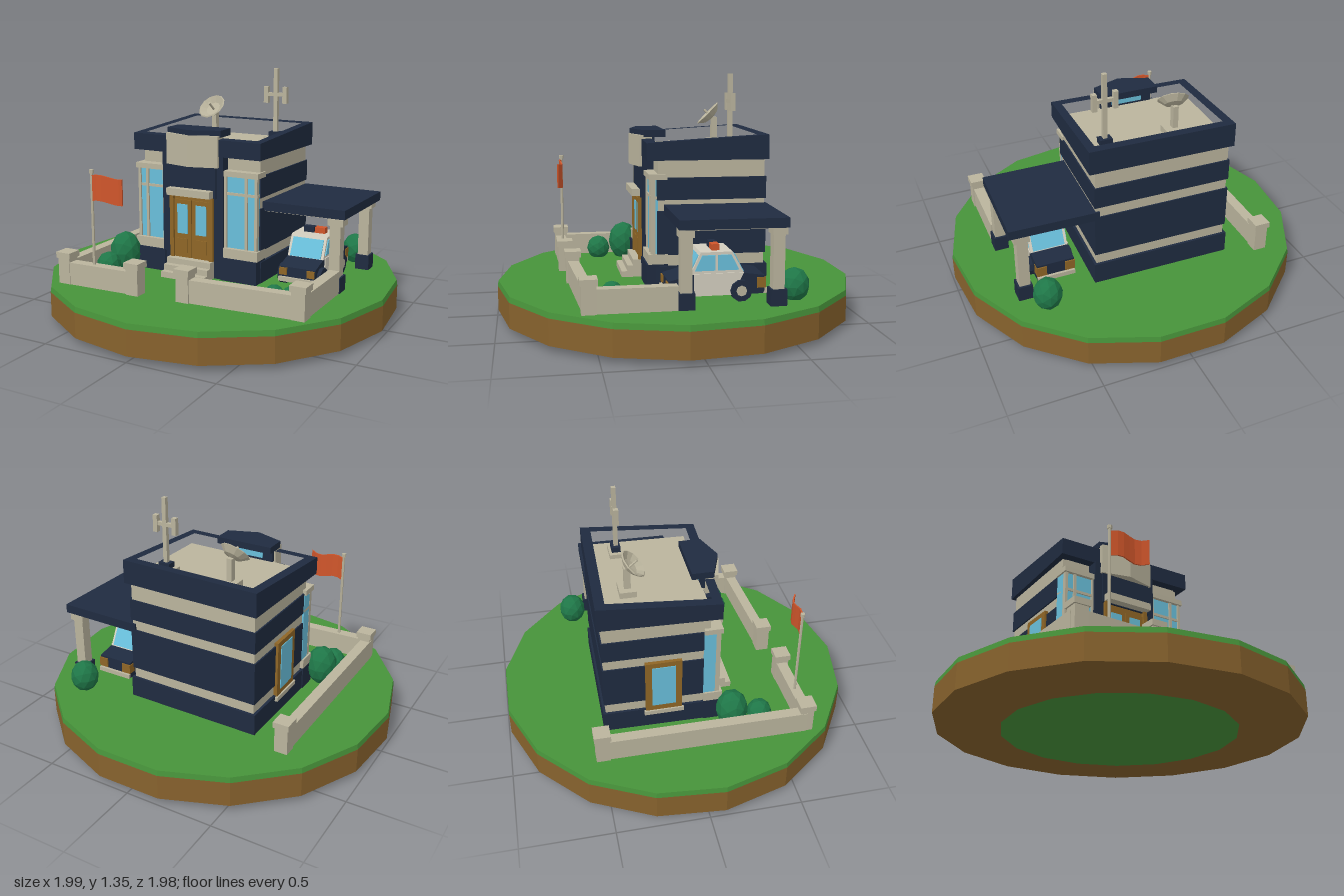
import * as THREE from 'three';

const mat = (name, color) => {
  const m = new THREE.MeshStandardMaterial({ color, flatShading: true });
  m.name = name;
  return m;
};

export function createModel() {
  const root = new THREE.Group();
  root.name = 'station';
  const cream = mat('cream stone', 0xbab49d), navy = mat('navy', 0x1f2b40);
  const glass = mat('glass blue', 0x69bfdb), wood = mat('wood brown', 0x8f6626);
  const soil = mat('soil brown', 0x87622d), grass = mat('grass green', 0x47933a);
  const leaf = mat('leaf green', 0x1f7748), orange = mat('orange', 0xd0562b);
  const white = mat('car white', 0xd3cebf);

  const group = (name) => {
    const g = new THREE.Group();
    g.name = name;
    root.add(g);
    return g;
  };
  const add = (parent, name, geo, m, x = 0, y = 0, z = 0) => {
    const mesh = new THREE.Mesh(geo, m);
    mesh.name = name;
    mesh.position.set(x, y, z);
    parent.add(mesh);
    return mesh;
  };
  // box from its extents
  const box = (p, name, m, x0, x1, y0, y1, z0, z1) =>
    add(p, name, new THREE.BoxGeometry(x1 - x0, y1 - y0, z1 - z0), m, (x0 + x1) / 2, (y0 + y1) / 2, (z0 + z1) / 2);
  const cyl = (p, name, m, r0, r1, y0, y1, n, x = 0, z = 0) =>
    add(p, name, new THREE.CylinderGeometry(r1, r0, y1 - y0, n), m, x, (y0 + y1) / 2, z);
  const toShape = (pts) => new THREE.Shape(pts.map(([a, b]) => new THREE.Vector2(a, b)));
  // upright slab over an [x, z] outline, optionally with a hole
  const slab = (p, name, m, pts, y0, y1, hole) => {
    const flip = (q) => q.map(([x, z]) => [x, -z]);
    const s = toShape(flip(pts));
    if (hole) s.holes.push(toShape(flip(hole)));
    const g = new THREE.ExtrudeGeometry(s, { depth: y1 - y0, bevelEnabled: false });
    g.rotateX(-Math.PI / 2);
    return add(p, name, g, m, 0, y0, 0);
  };
  // [z, y] profile carried across x
  const across = (p, name, m, pts, x0, x1) => {
    const g = new THREE.ExtrudeGeometry(toShape(pts), { depth: x1 - x0, bevelEnabled: false });
    g.rotateY(-Math.PI / 2);
    return add(p, name, g, m, x1, 0, 0);
  };

  // island
  const island = group('island');
  cyl(island, 'grassTop', grass, 1, 0.995, 0.17, 0.2, 17, 0, -0.005);
  cyl(island, 'soilRim', soil, 1, 1, 0.03, 0.17, 17, 0, -0.005);
  cyl(island, 'soilUnderside', soil, 0.66, 1, 0.012, 0.03, 17, 0, -0.005);
  cyl(island, 'grassUnderside', grass, 0.3, 0.66, 0, 0.0125, 17, 0, -0.005);

  // building walls in alternating bands
  const house = group('building');
  const wall = [[-0.44, -0.46], [0.32, -0.45], [0.3, 0.13], [-0.45, 0.115]];
  const grow = (d) => wall.map(([x, z]) => [x + Math.sign(x) * d, z + Math.sign(z) * d]);
  slab(house, 'walls', cream, wall, 0.2, 0.93);
  slab(house, 'base', navy, grow(0.015), 0.2, 0.32);
  slab(house, 'lowerBand', navy, grow(0.008), 0.38, 0.62);
  slab(house, 'upperBand', navy, grow(0.008), 0.68, 0.8);

  // parapet, rising towards the back
  const rim = slab(house, 'parapet', navy,
    [[-0.46, -0.485], [0.355, -0.465], [0.33, 0.195], [-0.485, 0.17]], 0.895, 0.995,
    [[-0.41, -0.43], [0.305, -0.41], [0.285, 0.14], [-0.43, 0.12]]);
  const rp = rim.geometry.attributes.position;
  for (let i = 0; i < rp.count; i++) if (rp.getY(i) > 0.05) rp.setY(i, 0.105 - 0.06 * rp.getZ(i));

  // bay windows on either side of the door
  for (const [x0, x1] of [[0.1, 0.3], [-0.46, -0.28]]) {
    const bay = group('bayWindow');
    const w = x1 - x0, s = x0 > 0 ? 1 : -1, out = s > 0 ? x1 : x0;
    box(bay, 'bayBase', navy, x0 - 0.01, x1 + 0.01, 0.2, 0.33, 0.08, 0.195);
    box(bay, 'sill', cream, x0 - 0.01, x1 + 0.01, 0.33, 0.385, 0.08, 0.185);
    box(bay, 'panes', glass, x0, x1, 0.385, 0.79, 0.08, 0.16);
    box(bay, 'head', cream, x0 - 0.01, x1 + 0.01, 0.79, 0.82, 0.08, 0.18);
    box(bay, 'crossbar', cream, x0, x1 + 0.004, 0.685, 0.7, 0.08, 0.167);
    for (const x of [out - s * 0.007, out - s * w * 0.33, out - s * (w - 0.008)])
      box(bay, 'mullion', cream, x - 0.008, x + 0.008, 0.385, 0.79, 0.145, 0.17);
  }

  // entrance
  const entry = group('entrance');
  for (const x of [-0.255, 0.07]) box(entry, 'column', navy, x - 0.03, x + 0.03, 0.2, 0.9, 0.08, 0.185);
  box(entry, 'panelOverDoor', navy, -0.24, 0.06, 0.66, 0.9, 0.08, 0.195);
  box(entry, 'doorFrame', wood, -0.23, 0.045, 0.3, 0.665, 0.1, 0.185);
  box(entry, 'doorLintel', cream, -0.23, 0.045, 0.665, 0.705, 0.1, 0.24);
  for (const x of [-0.152, -0.033]) {
    box(entry, 'doorLeaf', wood, x - 0.055, x + 0.055, 0.3, 0.635, 0.17, 0.193);
    box(entry, 'doorPane', glass, x - 0.033, x + 0.033, 0.44, 0.61, 0.19, 0.198);
    box(entry, 'doorPanel', wood, x - 0.033, x + 0.033, 0.33, 0.41, 0.19, 0.199);
  }
  for (const x of [-0.218, 0.033]) box(entry, 'doorJamb', wood, x - 0.012, x + 0.012, 0.3, 0.665, 0.17, 0.205);
  for (let i = 0; i < 3; i++)
    box(entry, 'step', cream, -0.235, 0.045, 0.2, 0.3 - i * 0.033, 0.1, 0.235 + i * 0.033);

  // folded sign panel with cap
  slab(entry, 'signPanel', cream, [[-0.25, 0.13], [0.075, 0.13], [0.075, 0.2], [-0.09, 0.24], [-0.25, 0.2]], 0.835, 1.01);
  slab(entry, 'signCap', navy, [[-0.255, 0.055], [0.08, 0.055], [0.08, 0.175], [-0.09, 0.235], [-0.255, 0.175]], 1.0, 1.038);
  box(entry, 'signBackPane', glass, -0.18, 0.0, 0.945, 0.995, 0.105, 0.113);
  box(entry, 'signBack', navy, -0.24, 0.065, 0.93, 1.01, 0.113, 0.14);

  // framed window on the right wall
  const side = group('sideWindow');
  box(side, 'frame', wood, -0.466, -0.42, 0.31, 0.64, -0.24, -0.04);
  box(side, 'pane', glass, -0.47, -0.462, 0.35, 0.61, -0.205, -0.075);
  box(side, 'sill', cream, -0.475, -0.42, 0.29, 0.315, -0.25, -0.03);

  // dish on the roof
  const dish = group('dish');
  box(dish, 'dishBase', cream, -0.25, -0.14, 0.925, 0.965, -0.33, -0.24);
  box(dish, 'dishStand', cream, -0.215, -0.185, 0.96, 1.09, -0.3, -0.265);
  const bowl = new THREE.Group();
  bowl.name = 'dishHead';
  bowl.position.set(-0.2, 1.085, -0.275);
  bowl.rotation.set(Math.PI / 4, 0, 0.15);
  dish.add(bowl);
  const bowlProfile = [[0, 0], [0.05, 0.01], [0.086, 0.04], [0.08, 0.045], [0.045, 0.02], [0, 0.012]];
  add(bowl, 'bowl', new THREE.LatheGeometry(bowlProfile.map((p) => new THREE.Vector2(...p)), 12), cream);
  cyl(bowl, 'feed', cream, 0.007, 0.007, 0.01, 0.07, 6);

  // antenna on the roof
  const ant = group('antenna');
  box(ant, 'antennaBase', cream, 0.14, 0.26, 0.925, 0.955, -0.325, -0.245);
  box(ant, 'antennaFoot', navy, 0.165, 0.235, 0.95, 0.985, -0.31, -0.26);
  box(ant, 'mast', cream, 0.188, 0.212, 0.95, 1.35, -0.295, -0.271);
  box(ant, 'crossArm', cream, 0.14, 0.26, 1.19, 1.21, -0.293, -0.273);
  for (const x of [0.14, 0.257]) box(ant, 'aerial', cream, x - 0.013, x + 0.013, 1.15, 1.245, -0.297, -0.269);

  // carport
  const port = group('carport');
  slab(port, 'carportRoof', navy, [[0.3, -0.46], [0.79, -0.45], [0.775, 0.1], [0.3, 0.1]], 0.605, 0.655);
  slab(port, 'carportCeiling', cream, [[0.32, -0.44], [0.765, -0.43], [0.755, 0.08], [0.31, 0.08]], 0.598, 0.606);
  for (const z of [0.06, -0.41]) {
    box(port, 'post', cream, 0.69, 0.75, 0.28, 0.6, z - 0.03, z + 0.03);
    box(port, 'postHead', cream, 0.68, 0.765, 0.565, 0.602, z - 0.038, z + 0.038);
    box(port, 'postFoot', navy, 0.68, 0.76, 0.2, 0.285, z - 0.042, z + 0.042);
  }

  // patrol car
  const car = group('car');
  const X0 = 0.42, X1 = 0.63;
  across(car, 'carBody', navy,
    [[0.13, 0.235], [0.13, 0.315], [0.02, 0.345], [-0.27, 0.345], [-0.37, 0.33], [-0.37, 0.235]], X0, X1);
  across(car, 'cabin', white, [[0.02, 0.34], [-0.035, 0.46], [-0.2, 0.46], [-0.265, 0.34]], X0, X1);
  across(car, 'windshield', glass, [[0.024, 0.348], [-0.024, 0.446], [-0.03, 0.44], [0.014, 0.348]], X0 + 0.015, X1 - 0.015);
  across(car, 'rearWindow', glass, [[-0.264, 0.352], [-0.255, 0.35], [-0.205, 0.442], [-0.215, 0.446]], X0 + 0.015, X1 - 0.015);
  for (const x of [X0 - 0.006, X1]) {
    across(car, 'doors', white, [[0.0, 0.235], [0.0, 0.35], [-0.26, 0.35], [-0.2, 0.235]], x, x + 0.006);
    across(car, 'frontSideWindow', glass, [[-0.005, 0.365], [-0.043, 0.445], [-0.11, 0.445], [-0.11, 0.365]], x, x + 0.006);
    across(car, 'rearSideWindow', glass, [[-0.125, 0.365], [-0.125, 0.445], [-0.193, 0.445], [-0.235, 0.365]], x, x + 0.006);
  }
  for (const z of [0.055, -0.245])
    for (const x of [X0, X1]) {
      cyl(car, 'tyre', navy, 0.057, 0.057, 0.237, 0.277, 10, x, z).rotation.z = Math.PI / 2;
      cyl(car, 'hub', cream, 0.028, 0.028, 0.234, 0.28, 8, x, z).rotation.z = Math.PI / 2;
    }
  box(car, 'frontBumper', cream, 0.42, 0.63, 0.235, 0.26, 0.11, 0.145);
  box(car, 'rearBumper', cream, 0.42, 0.63, 0.235, 0.26, -0.385, -0.36);
  for (const x of [0.445, 0.605]) {
    box(car, 'headlight', wood, x - 0.022, x + 0.022, 0.27, 0.31, 0.12, 0.138);
    box(car, 'tailLight', wood, x - 0.028, x + 0.028, 0.265, 0.32, -0.377, -0.33);
  }
  box(car, 'lightBarOrange', orange, 0.53, 0.59, 0.458, 0.492, -0.14, -0.1);
  box(car, 'lightBarNavy', navy, 0.465, 0.525, 0.458, 0.492, -0.14, -0.1);

  // garden wall: runs between capped pillars
  const fence = group('gardenWall');
  const run = (x0, z0, x1, z1) => {
    const len = Math.hypot(x1 - x0, z1 - z0);
    const m = add(fence, 'wallRun', new THREE.BoxGeometry(len, 0.125, 0.06), cream, (x0 + x1) / 2, 0.262, (z0 + z1) / 2);
    m.rotation.y = -Math.atan2(z1 - z0, x1 - x0);
  };
  run(-0.645, -0.51, -0.65, 0.615);
  run(-0.64, 0.62, -0.2, 0.605);
  run(0.09, 0.58, 0.72, 0.54);
  run(0.72, 0.54, 0.725, 0.1);
  for (const [x, z] of [[-0.645, -0.51], [-0.64, 0.615], [-0.2, 0.61], [0.09, 0.58], [0.72, 0.54]]) {
    box(fence, 'pillar', cream, x - 0.037, x + 0.037, 0.2, 0.35, z - 0.037, z + 0.037);
    box(fence, 'pillarCap', cream, x - 0.045, x + 0.045, 0.345, 0.378, z - 0.045, z + 0.045);
  }

  // flag with a gentle wave
  const flag = group('flag');
  cyl(flag, 'pole', cream, 0.008, 0.008, 0.3, 0.84, 6, -0.465, 0.61);
  cyl(flag, 'poleTip', cream, 0.013, 0.013, 0.83, 0.85, 6, -0.465, 0.61);
  const cloth = new THREE.BoxGeometry(0.215, 0.14, 0.008, 6, 1, 1);
  const cp = cloth.attributes.position;
  for (let i = 0; i < cp.count; i++) {
    const t = cp.getX(i) / 0.215 + 0.5;
    cp.setZ(i, cp.getZ(i) + 0.03 * t * t + 0.012 * Math.sin(t * 6.3));
    cp.setY(i, cp.getY(i) + 0.008 * Math.sin(t * 6.3));
  }
  add(flag, 'cloth', cloth, orange, -0.355, 0.75, 0.61);

  // faceted bushes: x, z, radius, top
  const bushes = group('bushes');
  for (const [x, z, r, top] of [[-0.52, 0.23, 0.09, 0.415], [-0.53, 0.385, 0.07, 0.33],
    [0.515, 0.405, 0.056, 0.305], [0.615, 0.4, 0.062, 0.31], [0.625, -0.53, 0.08, 0.365]]) {
    const b = add(bushes, 'bush', new THREE.IcosahedronGeometry(1, 1), leaf, x, (top + 0.18) / 2, z);
    b.scale.set(r, (top - 0.18) / 2, r);
    b.rotation.y = x * 9;
  }
  return root;
}
